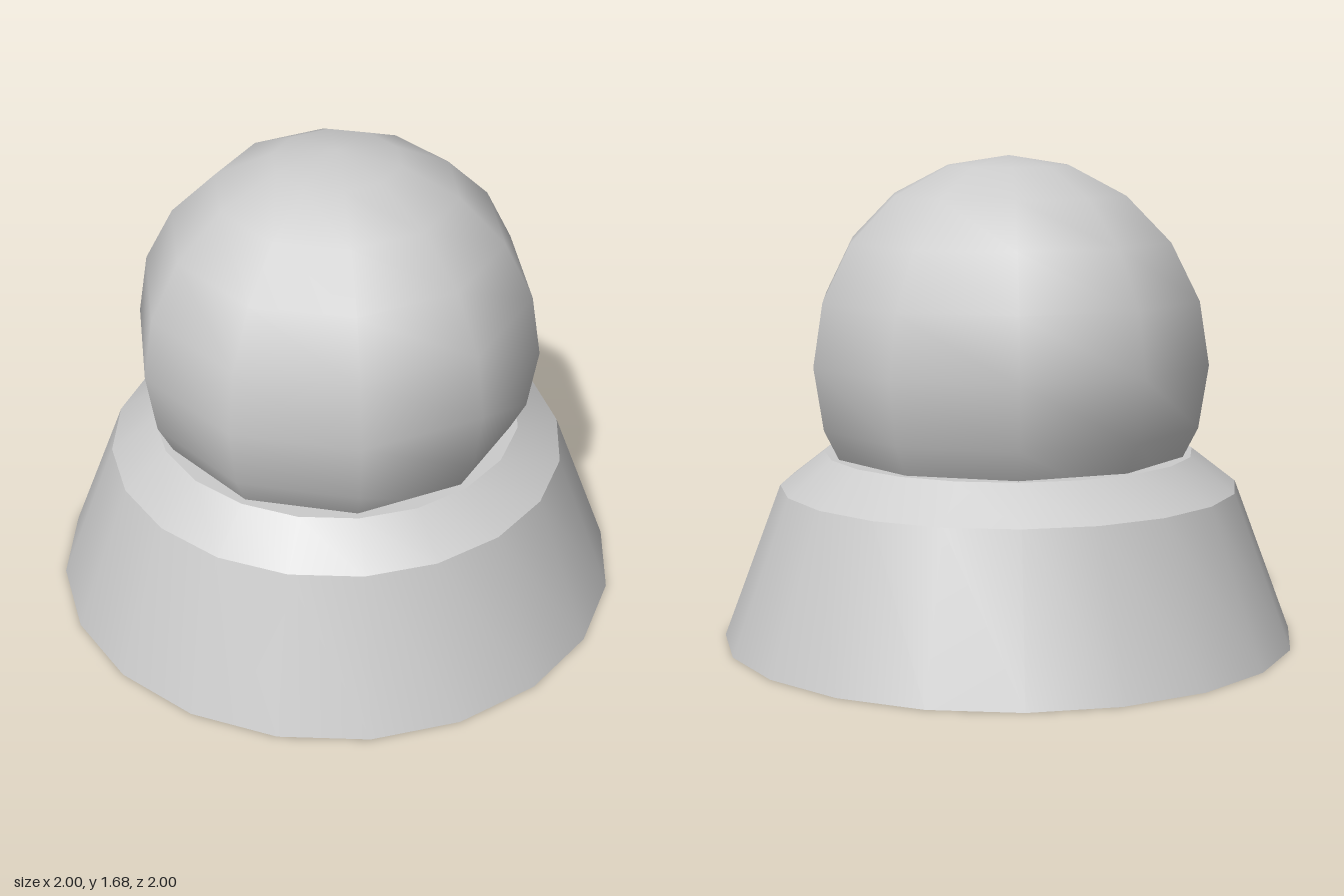
import * as THREE from 'three';
import { toCreasedNormals } from 'three/addons/utils/BufferGeometryUtils.js';

export function createModel() {
  const group = new THREE.Group();
  const material = new THREE.MeshStandardMaterial({ color: 0xcccccc });

  const add = (name, geometry) => {
    const mesh = new THREE.Mesh(geometry, material);
    mesh.name = name;
    group.add(mesh);
    return mesh;
  };

  // Tapered 20-sided pedestal with a bevelled shoulder, closed top and bottom
  const profile = [[0, 0], [1, 0], [0.8, 0.535], [0.645, 0.655], [0, 0.655]]
    .map(([r, y]) => new THREE.Vector2(r, y));
  add('base', toCreasedNormals(new THREE.LatheGeometry(profile, 20), 0.45));

  // Low-poly, smooth-shaded ball sunk into the pedestal, corners facing front and back
  const ball = add('ball', new THREE.SphereGeometry(0.705, 10, 10).rotateY(Math.PI / 2));
  ball.position.y = 0.975;

  return group;
}
